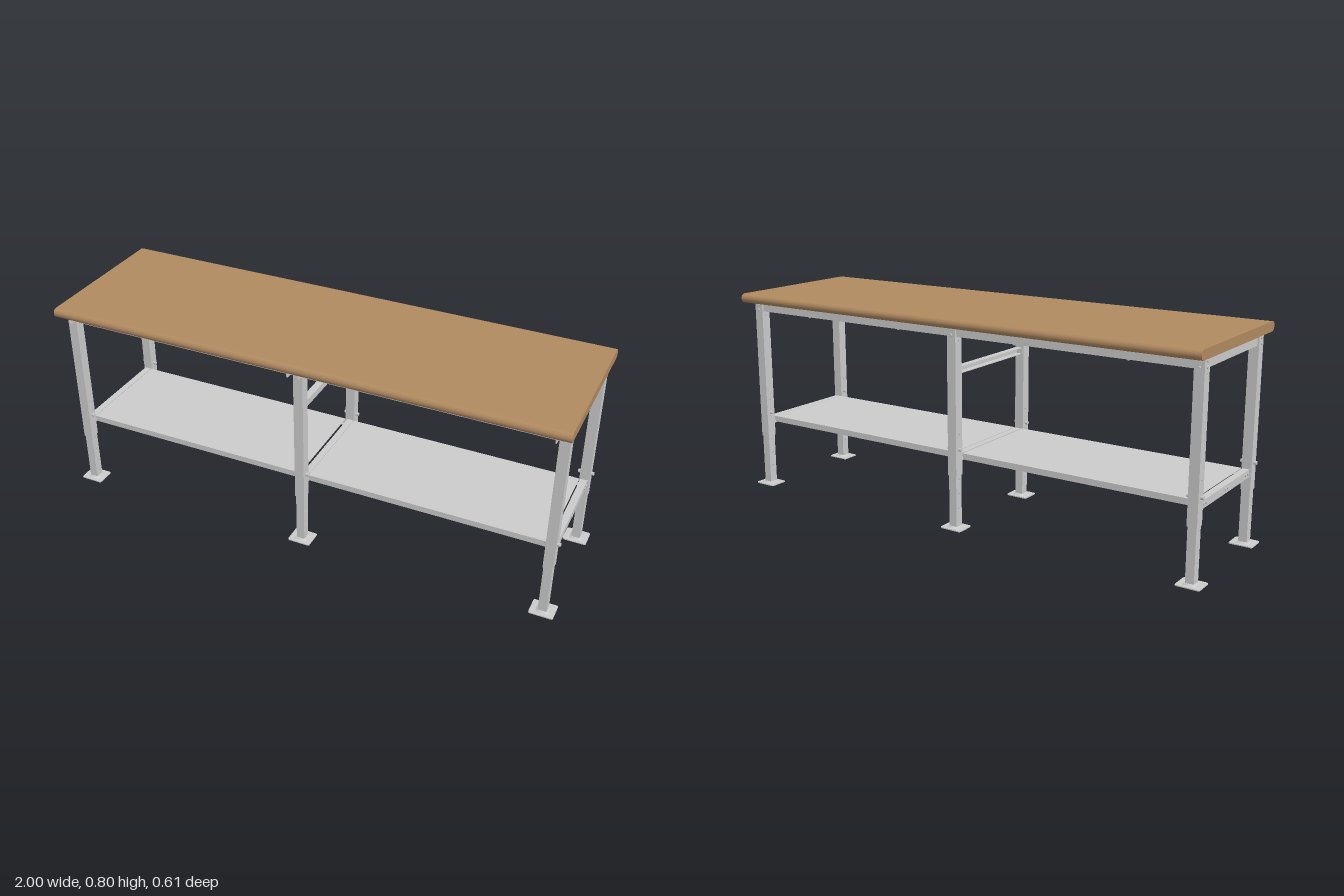
import * as THREE from 'three';

const grey = new THREE.MeshStandardMaterial({ color: 0xcccccc });
const wood = new THREE.MeshStandardMaterial({ color: 0xb08a60 });
const LEG_X = 0.953, LEG_Z = 0.227;

function add(parent, name, geometry, x = 0, y = 0, z = 0, material = grey) {
  const mesh = new THREE.Mesh(geometry, material);
  mesh.name = name;
  mesh.position.set(x, y, z);
  parent.add(mesh);
  return mesh;
}

function box(parent, name, w, h, d, x, y, z) {
  return add(parent, name, new THREE.BoxGeometry(w, h, d), x, y, z);
}

// Extrusion centred along z
function extrude(shape, depth, curveSegments = 8) {
  return new THREE.ExtrudeGeometry(shape, { depth, bevelEnabled: false, curveSegments }).translate(0, 0, -depth / 2);
}

// Rectangle with rounded corners
function roundedRect(w, h, r) {
  const s = new THREE.Shape();
  s.absarc(w / 2 - r, h / 2 - r, r, 0, Math.PI / 2);
  s.absarc(-w / 2 + r, h / 2 - r, r, Math.PI / 2, Math.PI);
  s.absarc(-w / 2 + r, -h / 2 + r, r, Math.PI, Math.PI * 1.5);
  s.absarc(w / 2 - r, -h / 2 + r, r, Math.PI * 1.5, Math.PI * 2);
  return s;
}

// C-section along z: web at x = 0, flanges towards -x
function channel(length, h, d, t = 0.003) {
  const s = new THREE.Shape([
    [0, -h / 2], [0, h / 2], [-d, h / 2], [-d, h / 2 - t], [-t, h / 2 - t],
    [-t, -h / 2 + t], [-d, -h / 2 + t], [-d, -h / 2]
  ].map(p => new THREE.Vector2(...p)));
  return extrude(s, length);
}

// Upright square tube, holes drilled through the two x faces
function tube(parent, name, w, d, y0, y1, holes) {
  const t = 0.0025;
  for (const s of [-1, 1]) {
    box(parent, name, w, y1 - y0, t, 0, (y0 + y1) / 2, s * (d - t) / 2);
    const side = new THREE.Shape([
      new THREE.Vector2(-d / 2, y0), new THREE.Vector2(d / 2, y0),
      new THREE.Vector2(d / 2, y1), new THREE.Vector2(-d / 2, y1)
    ]);
    for (const y of holes) side.holes.push(new THREE.Path().absarc(0, y, 0.004, 0, Math.PI * 2, true));
    add(parent, name, extrude(side, t).rotateY(Math.PI / 2), s * (w - t) / 2);
  }
}

// Hexagonal bolt head, axis along x or z
function bolt(parent, x, y, z, axis = 'x', r = 0.006, length = 0.006) {
  const m = add(parent, 'bolt', new THREE.CylinderGeometry(r, r, length, 6), x, y, z);
  if (axis === 'x') m.rotation.z = Math.PI / 2;
  else m.rotation.x = Math.PI / 2;
}

function leg(x, sz) {
  const g = new THREE.Group();
  g.name = 'leg';
  g.position.set(x, 0, sz * LEG_Z);
  tube(g, 'outerLeg', 0.037, 0.039, 0.208, 0.768, [0.363, 0.712]);
  tube(g, 'innerLeg', 0.032, 0.034, 0.005, 0.32, [0.078, 0.135, 0.192]);
  // Foot plate and its raised collar
  add(g, 'footPlate', extrude(roundedRect(0.09, 0.076, 0.007), 0.004).rotateX(-Math.PI / 2), 0, 0.004);
  add(g, 'footCollar', new THREE.CylinderGeometry(0.0255, 0.034, 0.006, 4, 1).rotateY(Math.PI / 4), 0, 0.009).material = grey;
  // Height-setting bolt and head bolts
  for (const s of [-1, 1]) {
    bolt(g, s * 0.024, 0.308, 0, 'x', 0.007, 0.012);
    for (const y of [0.736, 0.757]) bolt(g, s * 0.0205, y, 0, 'x', 0.006, 0.004);
  }
  for (const y of sz > 0 ? [0.736] : [0.736, 0.757]) bolt(g, 0, y, sz * 0.0225, 'z');
  return g;
}

// Cross members joining the front and back leg at one station
function crossMembers(x) {
  const g = new THREE.Group();
  g.name = 'crossMembers';
  const side = Math.sign(x) || 1, middle = x === 0;
  const place = (name, geo, px, y) => {
    const m = add(g, name, geo, px, y, 0);
    if (side < 0) m.rotation.y = Math.PI;
    return m;
  };
  const web = middle ? 0.016 : x + side * 0.012;
  place('topCrossRail', channel(0.416, 0.038, 0.028), web, 0.749);
  place('shelfCrossRail', channel(0.41, 0.029, 0.026), web, 0.2725);
  // Top support strip running forward past the front leg
  const strip = new THREE.Shape();
  strip.moveTo(-0.29, 0.769);
  strip.lineTo(0.2, 0.769);
  strip.lineTo(0.2, 0.745);
  strip.lineTo(-0.28, 0.745);
  strip.quadraticCurveTo(-0.29, 0.745, -0.29, 0.755);
  for (const px of middle ? [-0.0205, 0.0205] : [x - side * 0.0205])
    add(g, 'topSupport', extrude(strip, 0.003).rotateY(Math.PI / 2), px);
  // Bolts and end tabs on the lower rail
  for (const z of [-0.19, -0.17, -0.01, 0.01, 0.17, 0.19])
    bolt(g, web + side * 0.002, 0.275, z, 'x', 0.0055, 0.004);
  for (const s of [-1, 1]) box(g, 'railEndTab', 0.032, 0.026, 0.004, x, 0.273, s * 0.2055);
  if (middle) {
    // Stiffener between the two middle legs
    place('middleBrace', channel(0.41, 0.026, 0.026), 0.014, 0.602);
    for (const z of [-0.17, 0, 0.17]) bolt(g, 0.0145, 0.6, z, 'x', 0.0035, 0.002);
    for (const s of [-1, 1]) box(g, 'braceEndTab', 0.032, 0.022, 0.004, 0, 0.6, s * 0.2055);
  }
  return g;
}

// Folded sheet shelf with turned-down, returned lips
function shelf(x) {
  const g = new THREE.Group();
  g.name = 'shelf';
  const w = 0.916, d = 0.41;
  box(g, 'shelfPanel', w, 0.003, d, x, 0.2865, 0);
  for (const s of [-1, 1]) {
    box(g, 'shelfLip', w, 0.022, 0.003, x, 0.276, s * (d - 0.003) / 2);
    box(g, 'shelfReturn', w, 0.003, 0.014, x, 0.2665, s * (d / 2 - 0.007));
  }
  return g;
}

export function createModel() {
  const model = new THREE.Group();
  model.name = 'workbench';

  // Worktop, bullnosed along front and back
  add(model, 'worktop', extrude(roundedRect(0.614, 0.036, 0.0178), 1.97, 10).rotateY(Math.PI / 2), 0, 0.787, 0, wood);

  for (const x of [-LEG_X, 0, LEG_X]) {
    model.add(leg(x, 1), leg(x, -1), crossMembers(x));
  }

  // Long rails under the top and the two shelf bays
  for (const sx of [-1, 1]) {
    model.add(shelf(sx * 0.4765));
    for (const sz of [-1, 1]) {
      const rail = add(model, 'longRail', channel(0.916, 0.037, 0.026), sx * 0.4765, 0.7485, sz * 0.24);
      rail.rotation.y = -sz * Math.PI / 2;
      for (const dx of [-0.22, 0.22])
        bolt(model, sx * 0.4765 + dx, 0.728, sz * 0.226, 'y', 0.005, 0.004);
    }
  }
  return model;
}
